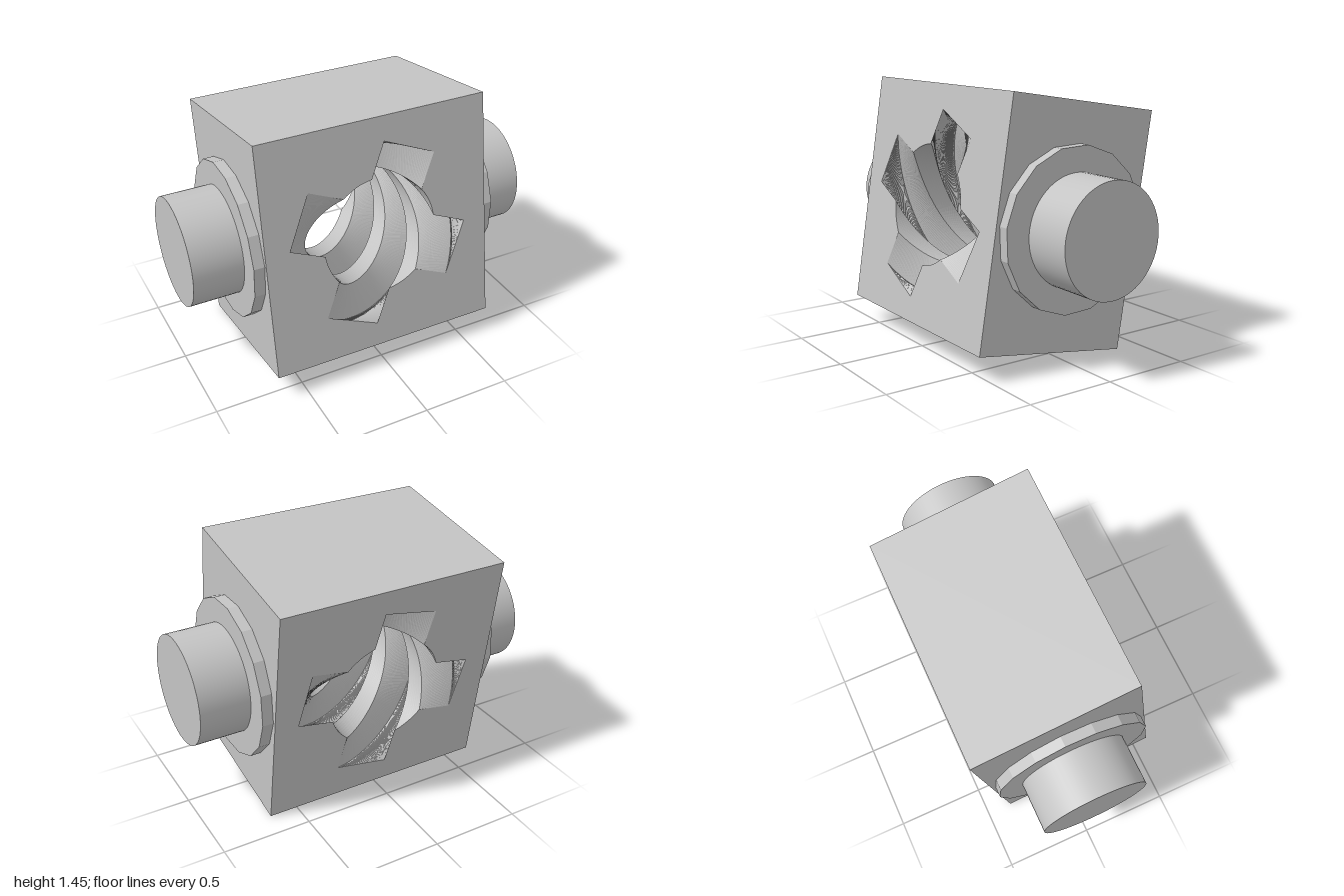
import * as THREE from 'three';

const W = 1.32, H = 1.32, D = 0.927;      // block size
const TILT = -0.156;                      // block leans back about x
const BORE = 0.33, SLOT = 0.5, HALF = 0.16; // bore radius, slot depth and half width
const START = THREE.MathUtils.degToRad(66.5), TWIST = THREE.MathUtils.degToRad(215);
const LAYERS = 200, LAND_STEPS = 8;

// Outline of the four-slotted bore, counter-clockwise, turned by an angle
function boreOutline(turn) {
  const points = [];
  const half = Math.asin(HALF / BORE);
  const root = Math.cos(half) * BORE;
  for (let k = 0; k < 4; k++) {
    const a = turn + k * Math.PI / 2;
    const centre = new THREE.Vector2();
    for (const [x, y] of [[root, -HALF], [SLOT, -HALF], [SLOT, HALF], [root, HALF]]) {
      points.push(new THREE.Vector2(x, y).rotateAround(centre, a));
    }
    const land = Math.PI / 2 - 2 * half;
    for (let i = 1; i < LAND_STEPS; i++) {
      const t = a + half + land * i / LAND_STEPS;
      points.push(new THREE.Vector2(Math.cos(t) * BORE, Math.sin(t) * BORE));
    }
  }
  return points;
}

// Twisted inner wall lofted from front to back, facing the axis
function twistedBore() {
  const pos = [];
  const ring = (j) => boreOutline(START + TWIST * j / LAYERS)
    .map((p) => [p.x, p.y, D / 2 - D * j / LAYERS]);
  let front = ring(0);
  for (let j = 1; j <= LAYERS; j++) {
    const back = ring(j);
    for (let i = 0; i < front.length; i++) {
      const n = (i + 1) % front.length;
      pos.push(...front[i], ...front[n], ...back[n], ...front[i], ...back[n], ...back[i]);
    }
    front = back;
  }
  const g = new THREE.BufferGeometry();
  g.setAttribute('position', new THREE.Float32BufferAttribute(pos, 3));
  g.computeVertexNormals();
  return g;
}

// Rectangular end face with a slotted opening
function endFace(outline) {
  const s = new THREE.Shape([
    new THREE.Vector2(-W / 2, -H / 2), new THREE.Vector2(W / 2, -H / 2),
    new THREE.Vector2(W / 2, H / 2), new THREE.Vector2(-W / 2, H / 2),
  ]);
  s.holes.push(new THREE.Path(outline));
  return new THREE.ShapeGeometry(s);
}

export function createModel() {
  const steel = new THREE.MeshStandardMaterial({ color: 0xc4c4c4 });
  steel.name = 'light grey';
  const facetedSteel = steel;

  const model = new THREE.Group();
  model.name = 'trunnionBlock';
  const body = new THREE.Group();
  body.name = 'tiltedBody';
  body.position.y = 0.727;
  body.rotation.x = TILT;
  model.add(body);

  const add = (name, geometry) => {
    const m = new THREE.Mesh(geometry, facetedSteel);
    m.name = name;
    body.add(m);
    return m;
  };

  // Block faces
  add('frontFace', endFace(boreOutline(START))).position.z = D / 2;
  const mirrored = boreOutline(START + TWIST).map((p) => new THREE.Vector2(-p.x, p.y));
  const back = add('backFace', endFace(mirrored));
  back.rotation.y = Math.PI;
  back.position.z = -D / 2;
  for (const s of [1, -1]) {
    const cap = add(s > 0 ? 'topFace' : 'bottomFace', new THREE.PlaneGeometry(W, D));
    cap.rotation.x = -s * Math.PI / 2;
    cap.position.y = s * H / 2;
    const side = add(s > 0 ? 'leftFace' : 'rightFace', new THREE.PlaneGeometry(D, H));
    side.rotation.y = s * Math.PI / 2;
    side.position.x = s * W / 2;
  }

  // Spiral slotted bore
  add('twistedBore', twistedBore());

  // Sixteen-sided collars and round pins on both sides
  for (const s of [1, -1]) {
    const side = s > 0 ? 'left' : 'right';
    const collar = new THREE.CylinderGeometry(0.444, 0.444, 0.06, 16).toNonIndexed();
    collar.computeVertexNormals();
    const c = add(side + 'Collar', collar);
    c.rotation.z = -s * Math.PI / 2;
    c.position.x = s * 0.69;
    const pin = add(side + 'Pin', new THREE.CylinderGeometry(0.304, 0.304, 0.34, 64));
    pin.rotation.z = -s * Math.PI / 2;
    pin.position.x = s * 0.83;
  }
  return model;
}
